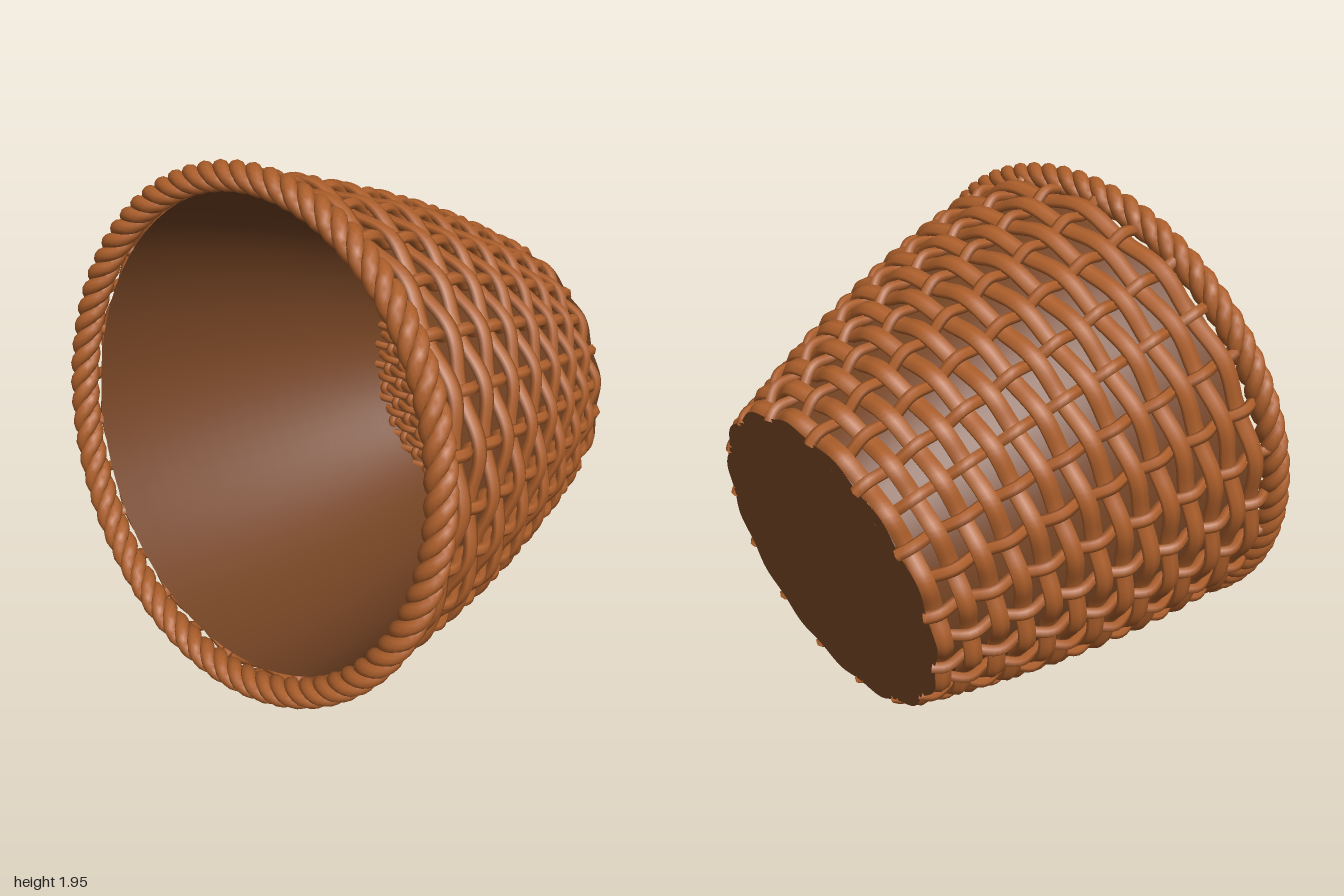
import * as THREE from 'three';
import { mergeGeometries } from 'three/addons/utils/BufferGeometryUtils.js';

const STAKES = 30, ROWS = 14, PITCH = 0.096, FIRST = 0.04; // weave layout
const WAVE = 0.018;                                        // over-under depth
const RIM_H = 1.395, RIM_R = 0.933;

// mid-weave radius of the basket wall at height h
const wall = h => 0.58 + 0.4 * h - 0.105 * h * h;
const slope = h => 0.4 - 0.21 * h;

// Sweeps an oval section along point(t), t in 0..1; normal(t) sets its thin axis
function strand(point, normal, steps, thick, wide, { closed = false, sides = 6 } = {}) {
  const pos = [], index = [];
  const rings = closed ? steps : steps + 1;
  const e = 0.2 / steps;
  for (let i = 0; i < rings; i++) {
    const t = i / steps;
    const p = point(t);
    const T = point(t + e).sub(point(t - e)).normalize();
    const N = normal(t);
    N.addScaledVector(T, -N.dot(T)).normalize();
    const B = new THREE.Vector3().crossVectors(T, N);
    for (let j = 0; j < sides; j++) {
      const a = (j / sides) * Math.PI * 2;
      const v = p.clone().addScaledVector(N, Math.cos(a) * thick).addScaledVector(B, Math.sin(a) * wide);
      pos.push(v.x, v.y, v.z);
    }
  }
  for (let i = 0; i < steps; i++) {
    const k = (i + 1) % rings;
    for (let j = 0; j < sides; j++) {
      const n = (j + 1) % sides;
      const a = i * sides + j, b = i * sides + n, c = k * sides + j, d = k * sides + n;
      index.push(a, b, c, b, d, c);
    }
  }
  const g = new THREE.BufferGeometry();
  g.setAttribute('position', new THREE.Float32BufferAttribute(pos, 3));
  g.setIndex(index);
  g.computeVertexNormals();
  return g;
}

// point on the wall pushed out along its surface normal
const wallNormal = (a, h) =>
  new THREE.Vector3(Math.cos(a), -slope(h), Math.sin(a)).normalize();
const wallPoint = (a, h, out) =>
  new THREE.Vector3(Math.cos(a) * wall(h), h, Math.sin(a) * wall(h)).addScaledVector(wallNormal(a, h), out);

export function createModel() {
  const wicker = new THREE.MeshStandardMaterial({ color: 0xad5f2b, side: THREE.DoubleSide });
  wicker.name = 'wicker';
  const lining = new THREE.MeshStandardMaterial({ color: 0x754424, side: THREE.DoubleSide });
  lining.name = 'darkLining';

  const basket = new THREE.Group();
  basket.name = 'basket';
  const add = (name, geometry, material) => {
    const m = new THREE.Mesh(geometry, material);
    m.name = name;
    basket.add(m);
  };

  // weavers: wavy hoops around the wall, alternating row by row
  const weavers = [];
  for (let i = 0; i < ROWS; i++) {
    const h = FIRST + i * PITCH, sign = i % 2 ? -1 : 1;
    const angle = t => -Math.PI / 2 + t * Math.PI * 2;
    weavers.push(strand(
      t => wallPoint(angle(t), h, sign * WAVE * Math.cos(t * Math.PI * STAKES)),
      t => wallNormal(angle(t), h), STAKES * 8, 0.02, 0.035, { closed: true }));
  }
  add('weavers', mergeGeometries(weavers), wicker);

  // stakes: run from base to rim, passing opposite to the weavers
  const stakes = [];
  for (let j = 0; j < STAKES; j++) {
    const a = -Math.PI / 2 + (j / STAKES) * Math.PI * 2, sign = j % 2 ? 1 : -1;
    const height = t => t * 1.36;
    stakes.push(strand(
      t => wallPoint(a, height(t), sign * WAVE * Math.cos(Math.PI * (height(t) - FIRST) / PITCH)),
      t => wallNormal(a, height(t)), 84, 0.02, 0.023));
  }
  add('stakes', mergeGeometries(stakes), wicker);

  // rim: three-ply rope
  const rope = [];
  const TWISTS = 24, PLY = 0.03;
  for (let k = 0; k < 3; k++) {
    const phase = t => t * TWISTS * Math.PI * 2 + (k / 3) * Math.PI * 2;
    const offset = (t, s) => {
      const a = t * Math.PI * 2, f = phase(t);
      return new THREE.Vector3(Math.cos(a) * Math.cos(f), Math.sin(f), Math.sin(a) * Math.cos(f)).multiplyScalar(s);
    };
    rope.push(strand(t => {
      const a = t * Math.PI * 2;
      return new THREE.Vector3(Math.cos(a) * RIM_R, RIM_H, Math.sin(a) * RIM_R).add(offset(t, PLY));
    }, t => offset(t, 1), TWISTS * 16, 0.027, 0.029, { closed: true, sides: 8 }));
  }
  add('ropeRim', mergeGeometries(rope), wicker);

  // smooth inner lining
  const profile = [];
  for (let i = 0; i <= 16; i++) {
    const h = (i / 16) * 1.35;
    profile.push(new THREE.Vector2(wall(h) - 0.04, h));
  }
  add('lining', new THREE.LatheGeometry(profile, 72), lining);

  // flat base with a scalloped edge
  const outline = [];
  for (let i = 0; i < 240; i++) {
    const a = (i / 240) * Math.PI * 2;
    const r = wall(0) + 0.026 + 0.01 * Math.cos((a + Math.PI / 2) * STAKES / 2);
    outline.push(new THREE.Vector2(Math.cos(a) * r, Math.sin(a) * r));
  }
  add('base', new THREE.ShapeGeometry(new THREE.Shape(outline)).rotateX(Math.PI / 2), lining);

  // woven floor: strands across and along, trimmed to the circle
  const floor = [];
  const FLOOR_R = 0.567, FLOOR_H = 0.04, GAP_X = 0.08, GAP_Z = 0.047;
  const up = () => new THREE.Vector3(0, 1, 0);
  const floorSet = (gap, otherGap, sense, wide, place) => {
    const n = Math.floor((FLOOR_R - 0.01) / gap);
    for (let i = -n; i <= n; i++) {
      const c = i * gap, half = Math.sqrt(FLOOR_R * FLOOR_R - c * c);
      const sign = (i % 2 ? -1 : 1) * sense;
      floor.push(strand(t => {
        const s = (t * 2 - 1) * half;
        return place(c, FLOOR_H + sign * 0.011 * Math.cos(Math.PI * s / otherGap), s);
      }, up, Math.max(8, Math.ceil(2 * half / otherGap * 5)), 0.012, wide));
    }
  };
  floorSet(GAP_Z, GAP_X, 1, 0.018, (c, y, s) => new THREE.Vector3(s, y, c));
  floorSet(GAP_X, GAP_Z, -1, 0.017, (c, y, s) => new THREE.Vector3(c, y, s));
  add('wovenFloor', mergeGeometries(floor), wicker);

  // lay the basket on its side, mouth to the front
  basket.rotation.x = 1.365;
  basket.position.set(0, 0.72, -0.735);
  const model = new THREE.Group();
  model.name = 'wickerBasket';
  model.add(basket);
  return model;
}
